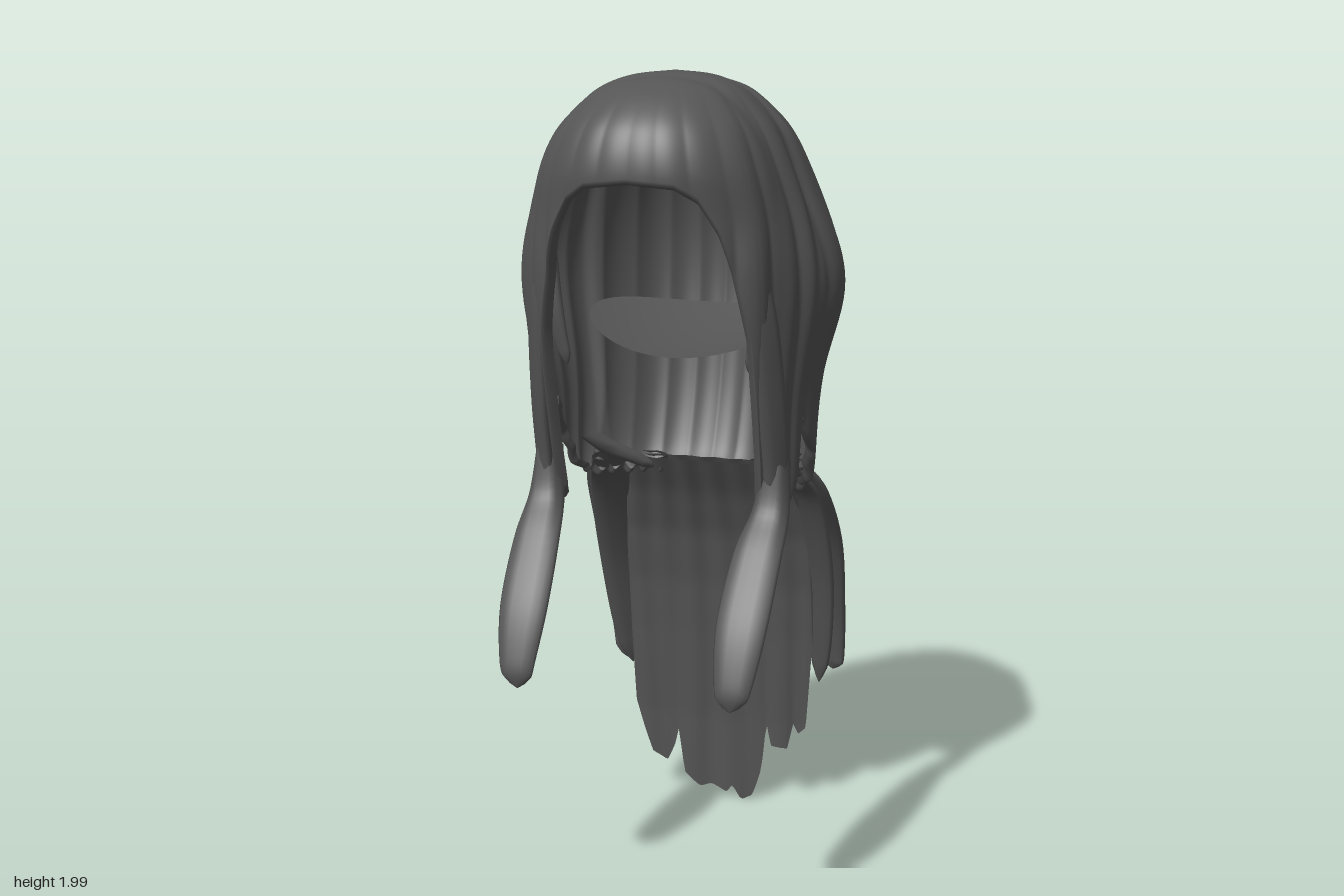
import * as THREE from 'three';

const material = new THREE.MeshStandardMaterial({ color: 0x555555, roughness: 0.9, side: THREE.DoubleSide });
const { sin, cos, abs, sign, pow, PI, min, max, exp } = Math;
const step = THREE.MathUtils.smoothstep;
const degrees = a => abs(a) * 180 / PI;

// Head outline at each height: y, half width, front z, back z
const profile = [
  [2.0, 0, 0.05, 0.05], [1.99, 0.09, 0.16, -0.05], [1.965, 0.16, 0.25, -0.14], [1.925, 0.21, 0.32, -0.21],
  [1.865, 0.26, 0.375, -0.285], [1.78, 0.298, 0.4, -0.335], [1.67, 0.328, 0.39, -0.37], [1.55, 0.34, 0.39, -0.385],
  [1.4, 0.34, 0.37, -0.375], [1.2, 0.33, 0.325, -0.335], [1.05, 0.325, 0.285, -0.28], [0.98, 0.31, 0.27, -0.23],
];
const outline = new THREE.CatmullRomCurve3(profile.map(p => new THREE.Vector3(p[1], p[2], p[3])), false, 'catmullrom');
const heights = new THREE.CatmullRomCurve3(profile.map(p => new THREE.Vector3(0, p[0], 0)), false, 'catmullrom');

// Profile parameter at which a given height is reached
function paramAt(y) {
  let lo = 0, hi = 1;
  for (let i = 0; i < 24; i++) {
    const mid = (lo + hi) / 2;
    if (heights.getPoint(mid).y > y) lo = mid; else hi = mid;
  }
  return hi;
}

// Piecewise linear lookup in [x, y] pairs
function lookup(table, x) {
  for (let i = 1; i < table.length; i++) {
    const [x0, y0] = table[i - 1], [x1, y1] = table[i];
    if (x <= x1) return y0 + (y1 - y0) * (x - x0) / (x1 - x0);
  }
  return table[table.length - 1][1];
}

// Point on the head; a = 0 faces front
function headPoint(a, t) {
  const o = outline.getPoint(t), y = heights.getPoint(t).y;
  const deg = degrees(a), c = cos(a), s = sin(a);
  const zc = 0.05 * max(0, 1 - t * 2);
  const front = c > 0;
  const ear = 0.05 * exp(-pow((deg - 92) / 19, 2)) * exp(-pow((y - 1.52) / 0.17, 2));
  const x = (o.x + ear) * sign(s) * pow(abs(s), front ? 0.92 : 1);
  const z = front ? zc + (o.y - zc) * pow(c, 0.72) : zc + (zc - o.z) * c;
  // lobed strands, calmer over the forehead and the back of the head
  const calm = (1 - 0.75 * (1 - step(deg, 35, 65)) * step(y, 1.55, 1.75)) * (1 - 0.4 * step(deg, 115, 135));
  const lobes = abs(sin(13 * a + 0.7 * sin(4 * a))) - 0.6 + 0.3 * sin(9 * a);
  // overlapping bands running from one side over the crown to the other
  const back = 1 - step(z + 0.7 * x * x, -0.13, -0.095);
  const groove = exp(-pow((z - 0.9 * x * x + 0.01) / 0.025, 2)) + 0.7 * exp(-pow((z - 0.16 - 0.6 * x * x) / 0.03, 2));
  const bands = (-0.04 * back * abs(s) - 0.02 * groove) * step(t, 0.03, 0.16);
  const k = 1 + lobes * 0.033 * calm * step(t, 0.05, 0.5) + bands;
  return [x * k, y + (0.5 * bands - 0.008 * back) * step(y, 1.75, 1.9), z * k];
}

// Cap of hair from the crown down to a hem that depends on the angle
function hairCap(name, hem) {
  const cols = 360, rows = 60, fold = 3, total = rows + fold;
  const pos = [], idx = [];
  for (let i = 0; i < cols; i++) {
    const a = (i / cols) * 2 * PI - PI;
    const end = paramAt(hem(a));
    for (let j = 0; j <= total; j++) {
      const p = headPoint(a, end * min(j, rows) / rows);
      const f = max(0, j - rows); // hem turned inward
      pos.push(p[0] * (1 - 0.025 * f), p[1] + 0.004 * f * (f - 2), p[2] * (1 - 0.025 * f));
      if (j < total) {
        const n = total + 1, q = i * n + j, r = ((i + 1) % cols) * n + j;
        idx.push(q, q + 1, r, r, q + 1, r + 1);
      }
    }
  }
  return finish(name, pos, idx);
}

// Broad curved sheet of hair with a ragged lower edge
function tailSheet() {
  const hem = [[-0.26, 0.5], [-0.25, 0.27], [-0.2, 0.12], [-0.16, 0.095], [-0.14, 0.14], [-0.125, 0.2], [-0.105, 0.07],
    [-0.06, 0.03], [-0.03, 0.04], [0.02, 0.025], [0.035, 0.05], [0.06, 0.005], [0.09, 0.02], [0.115, 0.1], [0.13, 0.25],
    [0.145, 0.18], [0.19, 0.175], [0.205, 0.25], [0.22, 0.22], [0.24, 0.24], [0.26, 0.5]];
  const depth = [[0, -0.36], [0.25, -0.36], [0.5, -0.345], [0.65, -0.33], [0.8, -0.3], [0.92, -0.255], [1.02, -0.2]];
  const sides = 200, rows = 36, pos = [], idx = [];
  for (let i = 0; i <= rows; i++) {
    const u = i / rows;
    for (let j = 0; j < sides; j++) {
      const a = (j / sides) * 2 * PI, x = 0.26 * cos(a);
      const y = 1.02 + (lookup(hem, x) - 1.02) * u;
      const thick = (0.025 + 0.004 * sin(75 * x)) * (1 - 0.85 * u * u);
      pos.push(x * (0.86 + 0.14 * step(u, 0, 0.35)), y, lookup(depth, y) - thick * sign(sin(a)) * pow(abs(sin(a)), 0.5) + 0.006 * sin(50 * x) * u);
      if (i < rows) {
        const q = i * sides + j, r = i * sides + (j + 1) % sides;
        idx.push(q, q + sides, r, r, q + sides, r + sides);
      }
    }
  }
  return finish('tailSheet', pos, idx.reverse());
}

// Flattened lock along a path of [x, y, z, width, thickness]; turn rotates its width about y
function lock(name, path, turn = 0, mirror = 1) {
  const curve = new THREE.CatmullRomCurve3(path.map(p => new THREE.Vector3(p[0], p[1], p[2])), false, 'catmullrom');
  const size = new THREE.CatmullRomCurve3(path.map(p => new THREE.Vector3(p[3], p[4], 0)), false, 'catmullrom');
  const across = new THREE.Vector3(cos(turn), 0, sin(turn));
  const rings = 28, sides = 16, pos = [], idx = [];
  for (let i = 0; i <= rings; i++) {
    const t = i / rings, c = curve.getPoint(t), s = size.getPoint(t);
    const normal = curve.getTangent(t).cross(across).normalize();
    const round = i === rings ? 0.02 : pow(min(1, (1 - t) * 9), 0.5);
    for (let j = 0; j < sides; j++) {
      const a = (j / sides) * 2 * PI;
      const p = c.clone().addScaledVector(across, cos(a) * s.x / 2 * round)
        .addScaledVector(normal, sin(a) * s.y / 2 * round * (1 + 0.12 * cos(6 * a)));
      pos.push(p.x * mirror, p.y, p.z);
      if (i < rings) {
        const q = i * sides + j, r = i * sides + (j + 1) % sides;
        if (mirror > 0) idx.push(q, r, q + sides, r, r + sides, q + sides);
        else idx.push(q, q + sides, r, r, q + sides, r + sides);
      }
    }
  }
  return finish(name, pos, idx);
}

function finish(name, pos, idx) {
  const g = new THREE.BufferGeometry();
  g.setAttribute('position', new THREE.Float32BufferAttribute(pos, 3));
  g.setIndex(idx);
  g.computeVertexNormals();
  const mesh = new THREE.Mesh(g, material);
  mesh.name = name;
  return mesh;
}

// Shallow bowl inside the head, meeting the ridged back wall
function innerBowl() {
  const g = new THREE.RingGeometry(0.001, 1, 64, 10), p = g.attributes.position;
  for (let i = 0; i < p.count; i++) {
    const x = 0.28 * p.getX(i), v = p.getY(i);
    p.setXYZ(i, x, 1.33 + 0.9 * x * x + 0.02 * pow(1 - v, 2), -0.135 + 0.215 * v);
  }
  g.computeVertexNormals();
  const mesh = new THREE.Mesh(g, material);
  mesh.name = 'innerBowl';
  return mesh;
}

export function createModel() {
  const group = new THREE.Group();
  group.name = 'longHair';

  // Outer hair with face opening and a notch below each ear
  const hemTable = [[0, 1.76], [18, 1.75], [27, 1.72], [34, 1.65], [40, 1.56], [46, 1.4], [49, 1.2], [51, 1.02], [56, 0.99],
    [74, 1.0], [78, 1.06], [82, 1.21], [92, 1.09], [102, 1.02], [116, 0.99], [180, 0.985]];
  group.add(hairCap('outerHair', a => lookup(hemTable, degrees(a)) + (degrees(a) > 110 ? 0.008 * sin(40 * a) : 0)));
  group.add(innerBowl(), tailSheet());

  for (const m of [1, -1]) {
    // Tail locks swept outward and back
    const drop = m > 0 ? 0.03 : 0;
    group.add(lock('outerTailLock', [
      [0.24, 1.04, -0.15, 0.1, 0.03], [0.265, 0.96, -0.22, 0.14, 0.05], [0.275, 0.8, -0.33, 0.16, 0.055],
      [0.275, 0.6, -0.405, 0.15, 0.05], [0.29, 0.45, -0.43, 0.1, 0.04], [0.3, 0.37 + drop, -0.42, 0.06, 0.02],
    ], 0.5, m));
    group.add(lock('middleTailLock', [
      [0.24, 1.03, -0.13, 0.1, 0.03], [0.27, 0.93, -0.22, 0.12, 0.035], [0.285, 0.72, -0.31, 0.11, 0.04],
      [0.275, 0.5, -0.37, 0.1, 0.035], [0.27, 0.37, -0.385, 0.04, 0.015],
    ], 0.75, m));
    group.add(lock('innerTailLock', [
      [0.16, 1.02, -0.21, 0.1, 0.03], [0.18, 0.9, -0.28, 0.12, 0.035], [0.19, 0.65, -0.365, 0.12, 0.04],
      [0.2, 0.45, -0.39, 0.1, 0.035], [0.21, 0.26 - drop, -0.38, 0.05, 0.015],
    ], 0.25, m));

    // Front locks curling forward
    group.add(lock('frontLock', [
      [0.285, 1.12, 0.16, 0.06, 0.09], [0.28, 1.0, 0.2, 0.09, 0.07], [0.272, 0.92, 0.285, 0.115, 0.04],
      [0.265, 0.78, 0.39, 0.12, 0.035], [0.262, 0.66, 0.445, 0.09, 0.03], [0.258, 0.598, 0.458, 0.06, 0.02],
    ], 0, m));

    // Strand framing the face and a short wisp behind it
    group.add(lock('faceStrand', [
      [0.25, 1.6, 0.27, 0.05, 0.03], [0.272, 1.45, 0.255, 0.08, 0.035], [0.285, 1.25, 0.22, 0.08, 0.035],
      [0.288, 1.1, 0.19, 0.07, 0.035], [0.285, 0.99, 0.18, 0.06, 0.03],
    ], -0.9, m));
    group.add(lock('faceWisp', [
      [0.26, 1.6, 0.2, 0.03, 0.03], [0.25, 1.45, 0.2, 0.05, 0.03], [0.225, 1.32, 0.19, 0.03, 0.015],
    ], -0.4, m));

    // Curled ends inside the hem
    group.add(lock('hemCurl', [
      [0.27, 1.09, -0.08, 0.07, 0.03], [0.23, 1.05, -0.12, 0.07, 0.04], [0.18, 1.02, -0.16, 0.06, 0.03], [0.14, 0.99, -0.19, 0.03, 0.02],
    ], 1.2, m));
  }
  return group;
}
